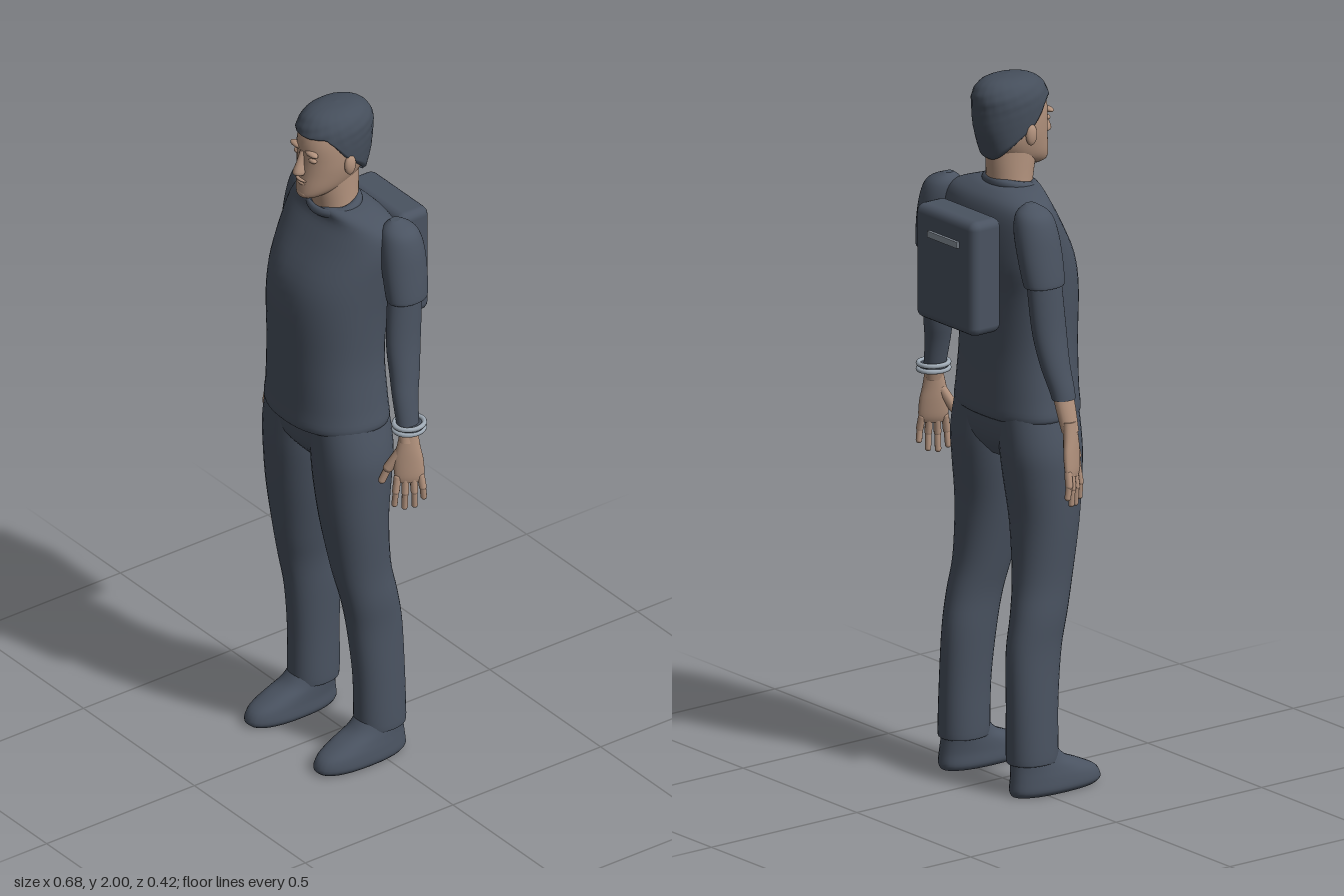
import * as THREE from 'three';
import { RoundedBoxGeometry } from 'three/addons/geometries/RoundedBoxGeometry.js';

const mat = (name, color, side = THREE.FrontSide) =>
  Object.assign(new THREE.MeshStandardMaterial({ color, side }), { name });

// Catmull-Rom blend of the rings [y, cx, cz, rx, rz] at position u
function sample(rings, u) {
  const n = rings.length - 1;
  const i = Math.min(Math.floor(u), n - 1), t = u - i;
  const at = (k) => rings[Math.max(0, Math.min(n, k))];
  const [a, b, c, d] = [at(i - 1), at(i), at(i + 1), at(i + 2)];
  return b.map((_, k) => 0.5 * (2 * b[k] + (c[k] - a[k]) * t
    + (2 * a[k] - 5 * b[k] + 4 * c[k] - d[k]) * t * t
    + (3 * b[k] - a[k] - 3 * c[k] + d[k]) * t * t * t));
}

// Closed body lofted upward through rounded cross-sections
function loft(rings, { side = 1, power = 2, taper = 0, seg = 32, sub = 4, base = null, ripple = null } = {}) {
  const n = rings.length - 1, rows = n * sub, pos = [], idx = [];
  for (let i = 0; i <= rows; i++) {
    for (let j = 0; j < seg; j++) {
      const a = (j / seg) * Math.PI * 2, c = Math.cos(a), s = Math.sin(a);
      const u0 = base ? base(s) : 0;
      const [y, cx, cz, rx, rz] = sample(rings, u0 + (n - u0) * (i / rows));
      const k = base && i === 0 ? 0.9 : 1;
      const px = Math.sign(c) * Math.abs(c) ** (2 / power);
      const pz = Math.sign(s) * Math.abs(s) ** (2 / power);
      const r = k * (1 + (ripple ? ripple(a, y) : 0));
      pos.push(cx * side + px * rx * r * (1 - taper * pz), y, cz + pz * rz * r);
    }
  }
  for (let i = 0; i < rows; i++) for (let j = 0; j < seg; j++) {
    const a = i * seg + j, b = i * seg + (j + 1) % seg;
    idx.push(a, a + seg, b, b, a + seg, b + seg);
  }
  // flat end caps with their own vertices
  for (const top of base ? [true] : [false, true]) {
    const row = (top ? rows : 0) * seg, start = pos.length / 3;
    const ring = sample(rings, top ? n : 0);
    for (let j = 0; j < seg; j++) pos.push(...pos.slice((row + j) * 3, (row + j) * 3 + 3));
    pos.push(ring[1] * side, ring[0], ring[2]);
    for (let j = 0; j < seg; j++) {
      const a = start + j, b = start + (j + 1) % seg;
      idx.push(start + seg, top ? b : a, top ? a : b);
    }
  }
  const g = new THREE.BufferGeometry();
  g.setAttribute('position', new THREE.Float32BufferAttribute(pos, 3));
  g.setIndex(idx);
  g.computeVertexNormals();
  return g;
}

// Capsule from point a to point b
function rod(a, b, r) {
  const p = new THREE.Vector3(...a), d = new THREE.Vector3(...b).sub(p);
  const g = new THREE.CapsuleGeometry(r, d.length(), 4, 10);
  g.applyQuaternion(new THREE.Quaternion().setFromUnitVectors(new THREE.Vector3(0, 1, 0), d.clone().normalize()));
  return g.translate(...p.addScaledVector(d, 0.5).toArray());
}

const ball = (x, y, z, sx, sy, sz) => new THREE.SphereGeometry(1, 16, 12).scale(sx, sy, sz).translate(x, y, z);

export function createModel() {
  const model = new THREE.Group();
  model.name = 'standingMan';
  const cloth = mat('slateCloth', 0x4a5361);
  const hairMat = mat('darkHair', 0x454e5b, THREE.DoubleSide);
  const skin = mat('skin', 0xb3937e);
  const metal = mat('paleMetal', 0xa0abb6);
  const trim = mat('greyTrim', 0x8a939d);
  const add = (name, geo, m, parent = model) => {
    const mesh = new THREE.Mesh(geo, m);
    mesh.name = name;
    parent.add(mesh);
    return mesh;
  };

  // Shirt and collar
  add('shirt', loft([
    [1.045, 0, 0.06, 0.18, 0.13], [1.06, 0, 0.06, 0.195, 0.14], [1.12, 0, 0.06, 0.187, 0.138],
    [1.25, 0, 0.063, 0.176, 0.137], [1.4, 0, 0.058, 0.183, 0.142], [1.5, 0, 0.037, 0.192, 0.143],
    [1.6, 0, 0.01, 0.2, 0.113], [1.66, 0, 0, 0.185, 0.088], [1.69, 0, 0.015, 0.12, 0.073],
    [1.7, 0, 0.025, 0.075, 0.058],
  ], { power: 2.35, taper: 0.1, seg: 48 }), cloth);
  const collar = add('collar', new THREE.TorusGeometry(0.07, 0.014, 10, 36).rotateX(Math.PI / 2).scale(1.02, 1, 0.88), cloth);
  collar.position.set(0, 1.693, 0.027);
  collar.rotation.x = 0.2;

  // Trousers seat
  add('trouserSeat', loft([
    [0.925, 0, 0.05, 0.07, 0.07], [0.97, 0, 0.05, 0.16, 0.105],
    [1.02, 0, 0.048, 0.19, 0.117], [1.09, 0, 0.05, 0.182, 0.118],
  ], { power: 2.4 }), cloth);

  for (const side of [1, -1]) {
    const label = side > 0 ? 'left' : 'right';

    // Trouser leg and shoe
    add(label + 'TrouserLeg', loft([
      [0.09, 0.15, -0.015, 0.058, 0.072], [0.11, 0.15, -0.015, 0.061, 0.075], [0.25, 0.147, -0.013, 0.058, 0.076],
      [0.4, 0.141, -0.003, 0.059, 0.082], [0.5, 0.14, 0.015, 0.064, 0.083], [0.6, 0.13, 0.035, 0.073, 0.085],
      [0.75, 0.12, 0.05, 0.092, 0.094], [0.88, 0.112, 0.05, 0.104, 0.107], [0.97, 0.107, 0.048, 0.106, 0.114],
      [1.08, 0.09, 0.05, 0.098, 0.115],
    ], { side, power: 2.15 }), cloth);
    add(label + 'Shoe', loft([
      [0, 0.155, 0.055, 0.05, 0.137], [0.015, 0.156, 0.058, 0.06, 0.147], [0.045, 0.156, 0.052, 0.058, 0.138],
      [0.07, 0.154, 0.03, 0.055, 0.113], [0.095, 0.152, 0.003, 0.052, 0.083], [0.13, 0.15, -0.014, 0.048, 0.066],
    ], { side, power: 2.3 }), cloth);

    // Short sleeve over a long sleeve
    add(label + 'ShortSleeve', loft([
      [1.468, 0.237, -0.042, 0.041, 0.057], [1.478, 0.236, -0.042, 0.045, 0.062], [1.55, 0.222, -0.045, 0.05, 0.066],
      [1.62, 0.206, -0.047, 0.054, 0.062], [1.665, 0.195, -0.047, 0.045, 0.047], [1.688, 0.18, -0.045, 0.012, 0.015],
    ], { side, power: 2.1 }), cloth);
    add(label + 'LongSleeve', loft([
      side > 0 ? [1.105, 0.289, -0.006, 0.026, 0.033] : [1.15, 0.279, -0.007, 0.027, 0.035],
      [1.18, 0.272, -0.01, 0.03, 0.038], [1.25, 0.255, -0.02, 0.034, 0.045],
      [1.35, 0.239, -0.028, 0.036, 0.053], [1.5, 0.231, -0.04, 0.037, 0.053],
    ], { side }), cloth);

    // Hand, turned so that the palm looks inward and forward
    add(label + 'Wrist', loft([
      [1.06, 0.298, 0, 0.019, 0.026], [1.12, 0.286, -0.005, 0.022, 0.03], [1.19, 0.27, -0.01, 0.024, 0.032],
    ], { side, seg: 20 }), skin);
    const hand = new THREE.Group();
    hand.name = label + 'Hand';
    hand.position.set(0.303 * side, 0, 0);
    hand.rotation.y = -0.5 * side;
    model.add(hand);
    add('palm', loft([
      [0.935, 0.005, 0, 0.009, 0.033], [0.955, 0.003, 0, 0.014, 0.041], [1, 0, 0.002, 0.017, 0.041],
      [1.04, -0.002, 0.002, 0.018, 0.033], [1.09, -0.006, 0, 0.018, 0.024],
    ], { side, seg: 20 }), skin, hand);
    [[0.033, 0.867], [0.011, 0.856], [-0.011, 0.86], [-0.031, 0.884]].forEach(([z, tip], i) => {
      const mid = [0.009 * side, (0.95 + tip) / 2, z * 1.15];
      add('finger' + (i + 1), rod([0.004 * side, 0.95, z], mid, 0.0105), skin, hand);
      add('fingertip' + (i + 1), rod(mid, [0.006 * side, tip, z * 1.25], 0.0088), skin, hand);
    });
    add('thumbBase', rod([-0.004 * side, 1.03, 0.022], [-0.01 * side, 0.975, 0.056], 0.0145), skin, hand);
    add('thumbTip', rod([-0.01 * side, 0.975, 0.056], [-0.012 * side, 0.935, 0.073], 0.0105), skin, hand);

    // Ear, brow and eyelid
    add(label + 'Ear', ball(0.083 * side, 1.842, 0.035, 0.011, 0.03, 0.018), skin);
    add(label + 'Brow', ball(0.033 * side, 1.886, 0.128, 0.026, 0.008, 0.012), skin);
    add(label + 'Eyelid', ball(0.032 * side, 1.864, 0.124, 0.016, 0.008, 0.01), skin);
  }

  // Bracelet on the left wrist: two bands and a core
  for (const y of [1.094, 1.11]) {
    const band = add('braceletBand', new THREE.TorusGeometry(0.04, 0.007, 8, 32).rotateX(Math.PI / 2).scale(0.95, 1, 1.08), metal);
    band.position.set(0.292, y, -0.008);
  }
  const core = add('braceletCore', new THREE.CylinderGeometry(0.04, 0.04, 0.016, 32), cloth);
  core.position.set(0.292, 1.102, -0.008);

  // Neck and head
  add('neck', loft([
    [1.64, 0, 0.02, 0.068, 0.062], [1.7, 0, 0.024, 0.063, 0.065], [1.76, 0, 0.028, 0.062, 0.072],
    [1.82, 0, 0.03, 0.062, 0.075],
  ]), skin);
  add('head', loft([
    [1.733, 0, 0.105, 0.016, 0.025], [1.745, 0, 0.092, 0.037, 0.053], [1.77, 0, 0.062, 0.057, 0.083],
    [1.81, 0, 0.04, 0.071, 0.1], [1.85, 0, 0.033, 0.078, 0.104], [1.9, 0, 0.03, 0.08, 0.106],
    [1.94, 0, 0.025, 0.076, 0.099], [1.97, 0, 0.023, 0.058, 0.078], [1.985, 0, 0.02, 0.03, 0.045],
  ], { power: 2.1 }), skin);
  add('nose', loft([
    [1.811, 0, 0.139, 0.01, 0.012], [1.82, 0, 0.145, 0.016, 0.02], [1.85, 0, 0.139, 0.01, 0.015],
    [1.885, 0, 0.13, 0.008, 0.01],
  ], { seg: 16 }), skin);
  add('upperLip', ball(0, 1.795, 0.138, 0.022, 0.005, 0.01), skin);
  add('lowerLip', ball(0, 1.785, 0.137, 0.019, 0.006, 0.009), skin);
  add('chin', ball(0, 1.752, 0.132, 0.024, 0.016, 0.015), skin);

  // Short tousled hair: low at the nape, high over the forehead
  add('hair', loft([
    [1.77, 0, 0.005, 0.064, 0.06], [1.81, 0, 0.015, 0.077, 0.083], [1.86, 0, 0.029, 0.085, 0.111],
    [1.91, 0, 0.028, 0.087, 0.114], [1.95, 0, 0.024, 0.083, 0.11], [1.98, 0, 0.022, 0.066, 0.089],
    [1.995, 0, 0.02, 0.038, 0.054], [2, 0, 0.02, 0.002, 0.002],
  ], {
    seg: 64, sub: 5, power: 2.1,
    base: (s) => (s < 0 ? 1.7 * (1 + s) : 1.7 + 1.75 * Math.min(1, s * 1.5)),
    ripple: (a, y) => 0.012 * Math.sin(a * 13 + y * 90) * Math.sin(a * 7 - y * 140) * (y > 1.9 ? 1 : 0.4),
  }), hairMat);

  // Backpack with a pale strip near the top
  const pack = add('backpack', new RoundedBoxGeometry(0.262, 0.325, 0.103, 2, 0.024), cloth);
  pack.position.set(0, 1.482, -0.151);
  const strip = add('backpackStrip', new THREE.BoxGeometry(0.13, 0.018, 0.009), trim);
  strip.position.set(-0.004, 1.572, -0.206);

  return model;
}
